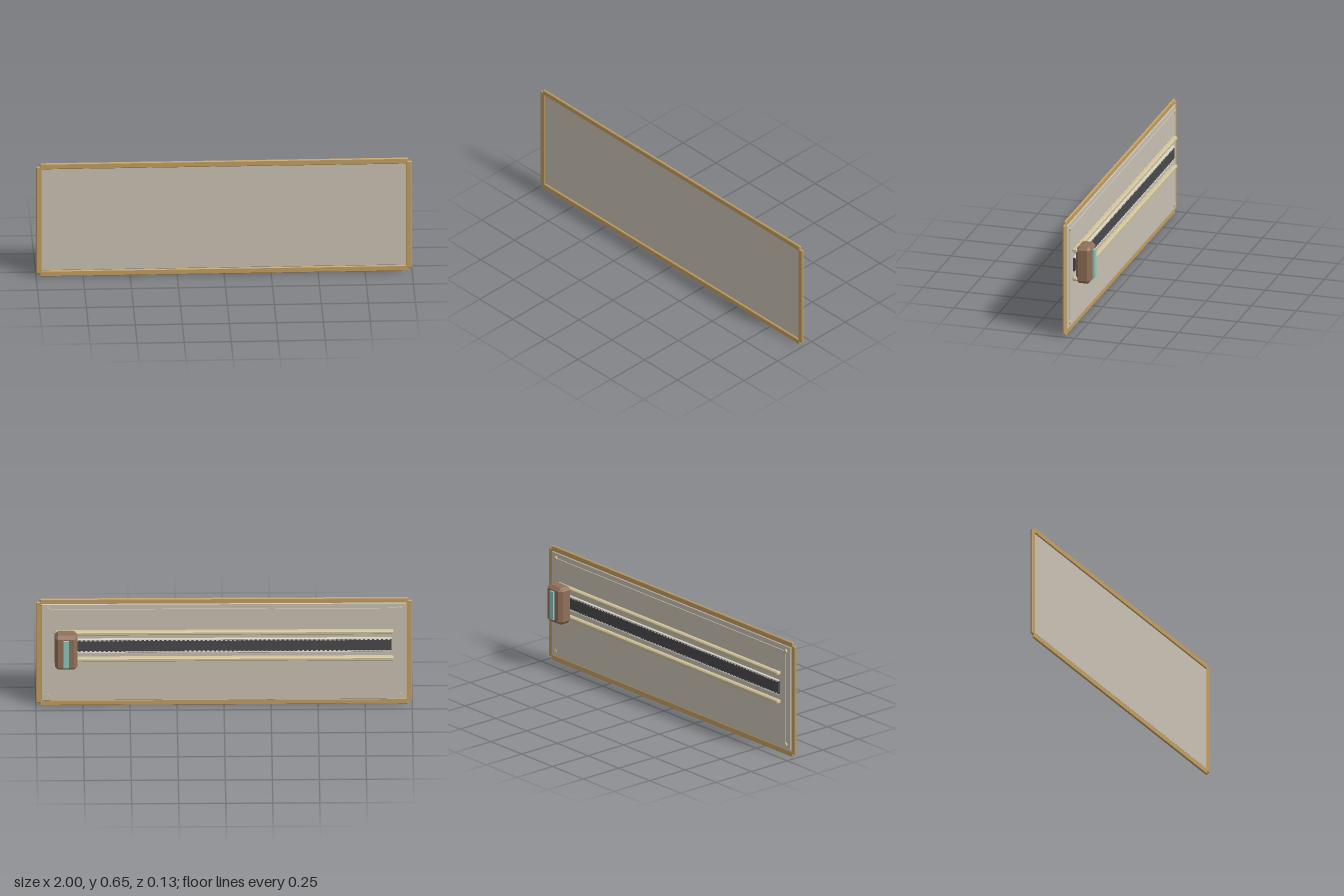
import * as THREE from 'three';
import { ConvexGeometry } from 'three/addons/geometries/ConvexGeometry.js';
import { mergeGeometries } from 'three/addons/utils/BufferGeometryUtils.js';

const mat = (name, color) => {
  const m = new THREE.MeshStandardMaterial({ color });
  m.name = name;
  return m;
};

// box with every edge cut at 45 degrees
function chamferBox(w, h, d, c) {
  const pts = [], a = w / 2, b = h / 2, e = d / 2;
  for (const x of [-1, 1]) for (const y of [-1, 1]) for (const z of [-1, 1]) {
    pts.push(
      new THREE.Vector3(x * a, y * (b - c), z * (e - c)),
      new THREE.Vector3(x * (a - c), y * b, z * (e - c)),
      new THREE.Vector3(x * (a - c), y * (b - c), z * e));
  }
  return new ConvexGeometry(pts);
}

export function createModel() {
  const group = new THREE.Group();
  const brass = mat('ochre frame', 0xc4a062);
  const board = mat('warm grey board', 0xcac2b4);
  const cream = mat('cream rail', 0xd2c49c);
  const dark = mat('charcoal', 0x4a4a4e);
  const silver = mat('pale teeth', 0xd8d4c8);
  const brown = mat('brown case', 0x90705a);
  const teal = mat('teal strip', 0x8ccabe);

  const add = (name, geo, material, x, y, z) => {
    const m = new THREE.Mesh(geo, material);
    m.name = name;
    m.position.set(x, y, z);
    group.add(m);
    return m;
  };
  const midY = 0.325;

  // frame bars
  for (const s of [-1, 1]) {
    add('frameHorizontal', chamferBox(1.96, 0.033, 0.013, 0.004), brass, 0, midY + s * 0.3085, 0.0615);
    add('frameVertical', chamferBox(0.033, 0.615, 0.013, 0.004), brass, s * 0.9835, midY, 0.0615);
  }

  // board with a raised back plate
  add('board', chamferBox(1.94, 0.588, 0.012, 0.003), board, 0, midY + 0.002, 0.056);
  add('backPlate', new THREE.BoxGeometry(1.87, 0.53, 0.008), board, 0, midY + 0.002, 0.049);

  // corner rivets
  for (const x of [-0.935, 0.935]) for (const y of [0.063, 0.592]) {
    add('rivet', new THREE.CylinderGeometry(0.0105, 0.0105, 0.011, 16), cream, x, y, 0.0465).rotation.x = Math.PI / 2;
  }

  // slide rails
  for (const y of [0.2965, 0.457]) {
    add('slideRail', chamferBox(1.8, 0.023, 0.028, 0.006), cream, 0, y, 0.032);
  }

  // dark track with a toothed edge on each side
  add('track', new THREE.BoxGeometry(1.78, 0.074, 0.014), dark, 0, 0.375, 0.039);
  for (const s of [-1, 1]) {
    add('trackEdge', chamferBox(1.78, 0.007, 0.015, 0.002), silver, 0, 0.375 + s * 0.0385, 0.0375);
    const teeth = [];
    for (let i = 0; i < 74; i++) {
      teeth.push(new THREE.BoxGeometry(0.012, 0.005, 0.003).translate(-0.876 + i * 0.024, 0, 0));
    }
    add('trackTeeth', mergeGeometries(teeth), silver, 0, 0.375 + s * 0.033, 0.0315);
  }

  // sliding carriage and its strip
  add('carriage', chamferBox(0.12, 0.208, 0.084, 0.0175), brown, 0.84, 0.376, -0.012);
  add('carriageStrip', new THREE.BoxGeometry(0.028, 0.16, 0.016), teal, 0.84, 0.376, -0.058);

  return group;
}
